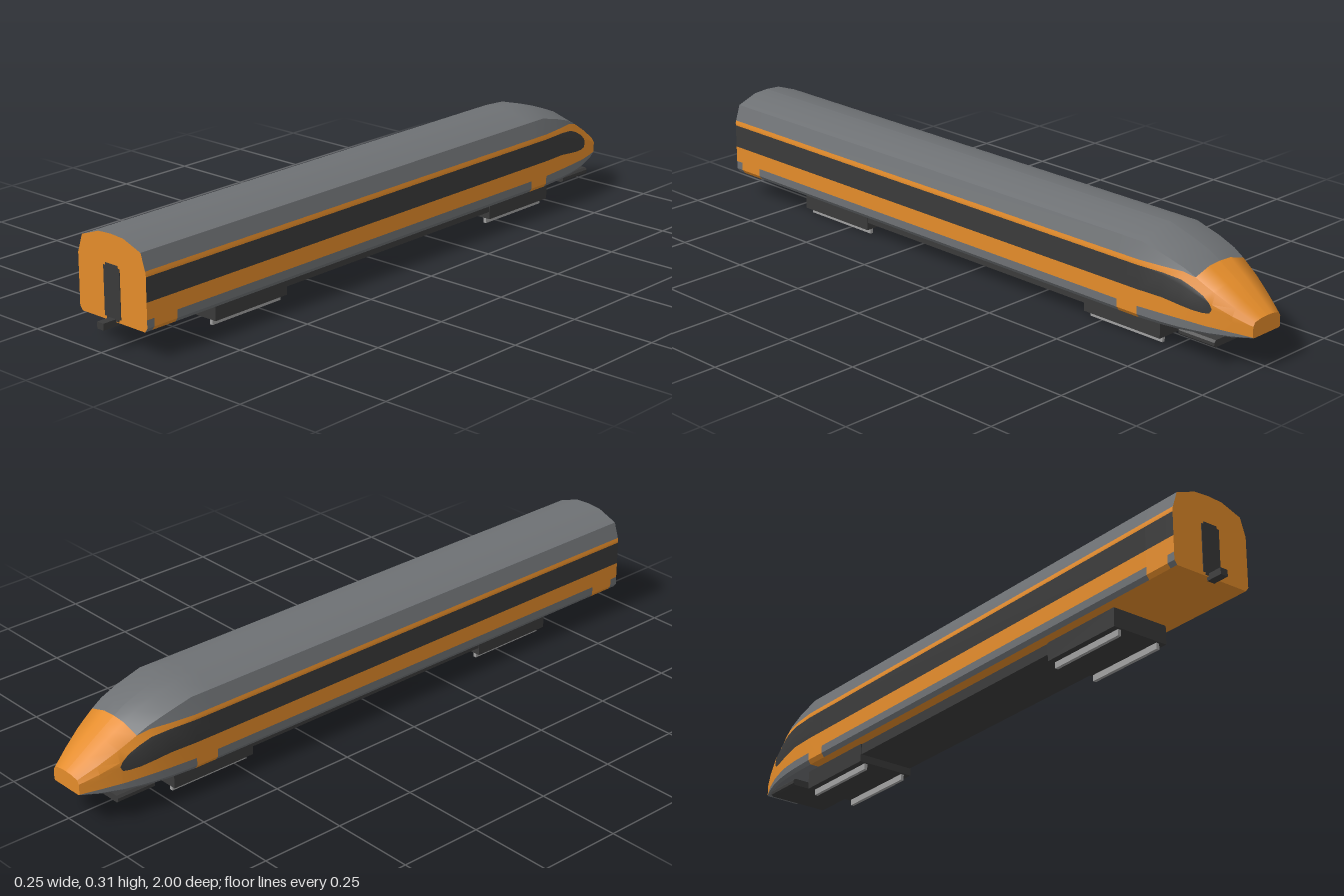
import * as THREE from 'three';
import { toCreasedNormals } from 'three/addons/utils/BufferGeometryUtils.js';

const material = (name, color) => {
  const m = new THREE.MeshStandardMaterial({ color });
  m.name = name;
  return m;
};

// Stations from tail to nose: z, top, bottom, half width, then the heights of the colour borders:
// skirt top, window bottom, window top, roof bottom
const STATIONS = [
  [0.955, 0.31, 0.073, 0.127, 0.108, 0.155, 0.223, 0.238],
  [0.93, 0.31, 0.073, 0.127, 0.108, 0.155, 0.223, 0.238],
  [0.85, 0.31, 0.073, 0.127, 0.108, 0.155, 0.223, 0.238],
  [-0.60, 0.31, 0.073, 0.127, 0.108, 0.155, 0.223, 0.238],
  [-0.67, 0.31, 0.073, 0.127, 0.108, 0.155, 0.223, 0.238],
  [-0.75, 0.287, 0.075, 0.123, 0.11, 0.155, 0.223, 0.238],
  [-0.805, 0.267, 0.077, 0.117, 0.11, 0.148, 0.217, 0.237],
  [-0.84, 0.247, 0.079, 0.111, 0.109, 0.143, 0.203, 0.228],
  [-0.87, 0.228, 0.081, 0.104, 0.107, 0.141, 0.187, 0.211],
  [-0.89, 0.215, 0.082, 0.099, 0.106, 0.143, 0.17, 0.2],
  [-0.897, 0.211, 0.083, 0.097, 0.106, 0.155, 0.155, 0.196],
  [-0.95, 0.175, 0.087, 0.078, 0.102, 0.13, 0.13, 0.165],
  [-1, 0.142, 0.093, 0.055, 0.096, 0.11, 0.11, 0.136],
];
const TOP = 1, BOTTOM = 2, WIDTH = 3, SKIRT = 4, WIN_LOW = 5, WIN_HIGH = 6, ROOF = 7;
const DOOR_A = 1, DOOR_B = 3, NOSE = 4, ROOF_END = 7, TIP = STATIONS.length - 1;

// Half cross-section: height fraction, width fraction
const PROFILE = [[0, 0.93], [0.05, 1], [0.67, 1], [0.89, 0.866], [0.987, 0.37], [1, 0]];

function widthAt(f) {
  for (let i = 1; i < PROFILE.length; i++) {
    const [f0, w0] = PROFILE[i - 1], [f1, w1] = PROFILE[i];
    if (f <= f1) return THREE.MathUtils.lerp(w0, w1, (f - f0) / (f1 - f0));
  }
  return 0;
}

function grid(rows, flip, crease = 0.45) {
  const pos = [];
  for (let i = 0; i + 1 < rows.length; i++) {
    for (let j = 0; j + 1 < rows[i].length; j++) {
      const a = rows[i][j], b = rows[i + 1][j], c = rows[i + 1][j + 1], d = rows[i][j + 1];
      pos.push(...(flip ? [a, c, b, a, d, c] : [a, b, c, a, c, d]).flat());
    }
  }
  const g = new THREE.BufferGeometry();
  g.setAttribute('position', new THREE.Float32BufferAttribute(pos, 3));
  g.computeVertexNormals();
  return toCreasedNormals(g, crease);
}

// One coloured band of the shell between two borders, on side s
function band(low, high, from, to, s, crease) {
  const rows = STATIONS.slice(from, to + 1).map((st) => {
    const h = st[TOP] - st[BOTTOM];
    const f0 = (st[low] - st[BOTTOM]) / h, f1 = (st[high] - st[BOTTOM]) / h;
    const steps = [f0, ...PROFILE.slice(1, -1).map((p) => THREE.MathUtils.clamp(p[0], f0, f1)), f1];
    return steps.map((f) => [s * st[WIDTH] * widthAt(f), st[BOTTOM] + f * h, st[0]]);
  });
  return grid(rows, s < 0, crease);
}

// Underside, facing down
function floorStrip(from, to) {
  const rows = STATIONS.slice(from, to + 1).map((st) => {
    const x = st[WIDTH] * PROFILE[0][1];
    return [[-x, st[BOTTOM], st[0]], [x, st[BOTTOM], st[0]]];
  });
  return grid(rows, false);
}

// Flat end wall from the cross-section at a station
function endWall(st, facing) {
  const right = PROFILE.map(([f, w]) => new THREE.Vector2(w * st[WIDTH], st[BOTTOM] + f * (st[TOP] - st[BOTTOM])));
  const left = right.slice(0, -1).reverse().map((p) => new THREE.Vector2(-p.x, p.y));
  const g = new THREE.ShapeGeometry(new THREE.Shape([...right, ...left]));
  if (facing < 0) g.rotateY(Math.PI);
  return g.translate(0, 0, st[0]);
}

// Symmetric plate extruded along z from the points of its right half, bottom to top
function plate(half, z, depth) {
  const right = half.map(([x, y]) => new THREE.Vector2(x, y));
  const left = half.map(([x, y]) => new THREE.Vector2(-x, y)).reverse();
  const shape = new THREE.Shape([...right, ...left]);
  return new THREE.ExtrudeGeometry(shape, { depth, bevelEnabled: false }).translate(0, 0, z);
}

export function createModel() {
  const orange = material('orange paint', 0xe48c2a);
  const grey = material('roof grey', 0x6e7174);
  const dark = material('dark grey', 0x3a3a3a);
  const steel = material('steel', 0xa0a0a0);

  const model = new THREE.Group();
  model.name = 'railCar';
  const add = (name, geometry, mat) => {
    const mesh = new THREE.Mesh(geometry, mat);
    mesh.name = name;
    model.add(mesh);
    return mesh;
  };
  const box = (name, mat, x0, x1, y0, y1, z0, z1) =>
    add(name, new THREE.BoxGeometry(x1 - x0, y1 - y0, z1 - z0), mat)
      .position.set((x0 + x1) / 2, (y0 + y1) / 2, (z0 + z1) / 2);

  // Shell sides and roof
  for (const s of [1, -1]) {
    const side = s > 0 ? 'left' : 'right';
    add(side + 'RearSkirt', band(BOTTOM, SKIRT, 0, DOOR_A, s), grey);
    add(side + 'RearDoorBase', band(BOTTOM, SKIRT, DOOR_A, DOOR_A + 1, s), orange);
    add(side + 'Skirt', band(BOTTOM, SKIRT, DOOR_A + 1, DOOR_B, s), grey);
    add(side + 'CabDoorBase', band(BOTTOM, SKIRT, DOOR_B, NOSE, s), orange);
    add(side + 'NoseSkirt', band(BOTTOM, SKIRT, NOSE, TIP, s), grey);
    add(side + 'LowerPanel', band(SKIRT, WIN_LOW, 0, TIP, s), orange);
    add(side + 'WindowBand', band(WIN_LOW, WIN_HIGH, 0, TIP, s), dark);
    add(side + 'UpperPanel', band(WIN_HIGH, ROOF, 0, TIP, s), orange);
    add(side + 'Roof', band(ROOF, TOP, 0, ROOF_END, s), grey);
    add(side + 'NoseTop', band(ROOF, TOP, ROOF_END, TIP, s, 1.1), orange);
  }

  // Floor and end walls
  add('floor', floorStrip(0, NOSE), orange);
  add('noseFloor', floorStrip(NOSE, TIP), grey);
  add('rearWall', endWall(STATIONS[0], 1), orange);
  add('noseTip', endWall(STATIONS[TIP], -1), orange);

  // Gangway door with stepped corners
  add('gangwayDoor', plate([[0.022, 0.076], [0.022, 0.083], [0.03, 0.083], [0.03, 0.221], [0.023, 0.221], [0.023, 0.228]],
    0.955, 0.002), dark);
  box('coupler', dark, -0.012, 0.012, 0.063, 0.082, 0.95, 1);

  // Running gear
  box('underframe', dark, -0.087, 0.087, 0.04, 0.072, -0.46, 0.42);
  for (const z of [0.545, -0.585]) {
    box('bogie', dark, -0.09, 0.09, 0.018, 0.0725, z - 0.135, z + 0.135);
    for (const x of [-0.066, 0.066]) box('runner', steel, x - 0.005, x + 0.005, 0, 0.02, z - 0.128, z + 0.128);
  }

  // Nose plough plate with chamfered edges
  add('plough', plate([[0.092, 0.053], [0.098, 0.058], [0.098, 0.067], [0.092, 0.073]], -0.91, 0.12), dark);
  box('ploughMount', dark, -0.04, 0.04, 0.07, 0.081, -0.88, -0.8);

  return model;
}
